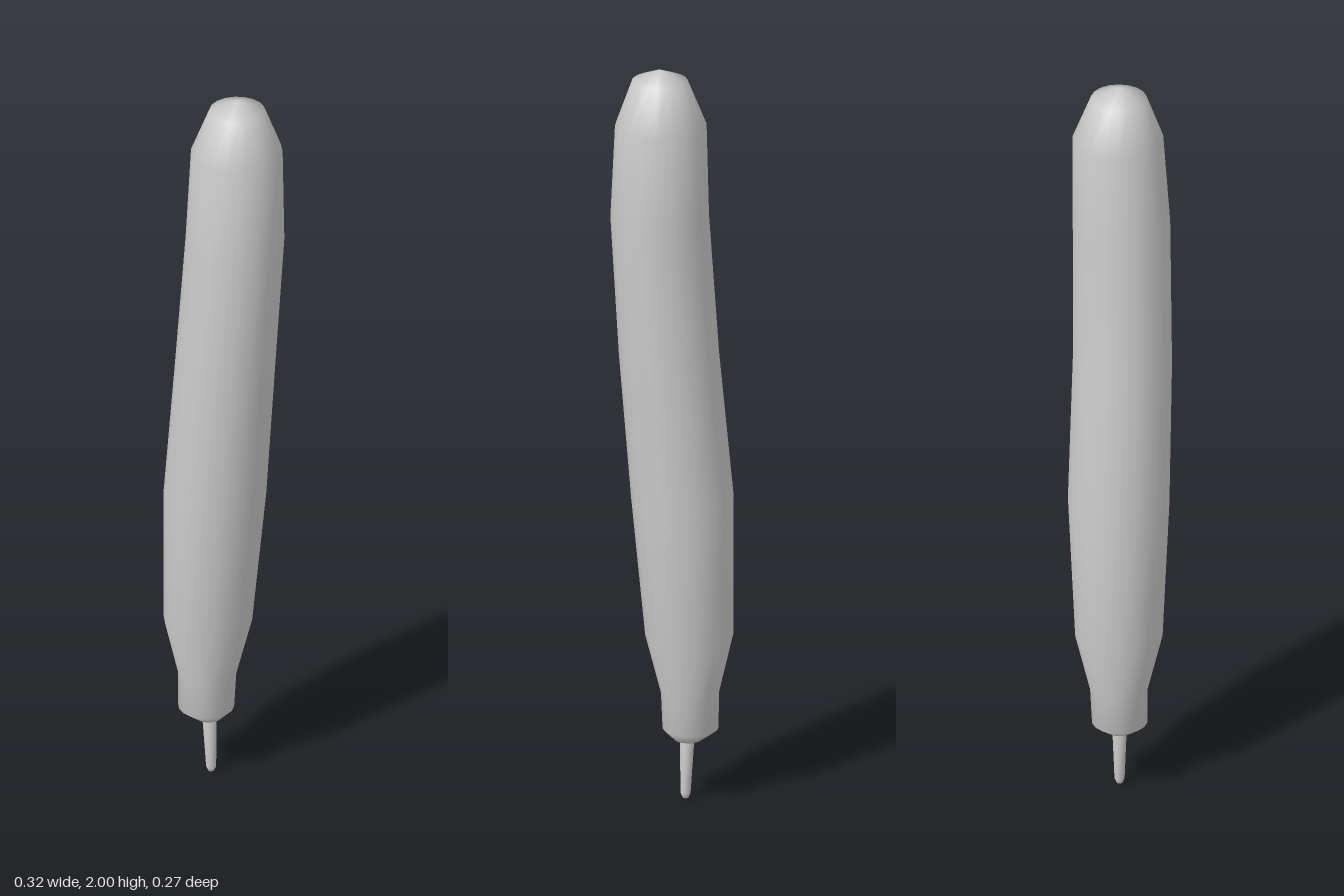
import * as THREE from 'three';
import { mergeVertices } from 'three/addons/utils/BufferGeometryUtils.js';

// Smooth skin through round sections [y, centreX, centreZ, radius], bottom to top
function loft(sections, sides) {
  const pos = [], index = [];
  for (const [y, cx, cz, r] of sections) {
    for (let i = 0; i < sides; i++) {
      const a = (i / sides) * Math.PI * 2;
      pos.push(cx + r * Math.cos(a), y, cz + r * Math.sin(a));
    }
  }
  for (let s = 0; s < sections.length - 1; s++) {
    for (let i = 0; i < sides; i++) {
      const a = s * sides + i, b = s * sides + (i + 1) % sides;
      const c = a + sides, d = b + sides;
      if (sections[s][3] > 0) index.push(a, c, b);
      if (sections[s + 1][3] > 0) index.push(b, c, d);
      else if (sections[s][3] > 0) continue;
    }
  }
  let geo = new THREE.BufferGeometry();
  geo.setAttribute('position', new THREE.Float32BufferAttribute(pos, 3));
  geo.setIndex(index);
  geo = mergeVertices(geo); // joins the points at each pole
  geo.computeVertexNormals();
  return geo;
}

export function createModel() {
  const group = new THREE.Group();
  const material = new THREE.MeshStandardMaterial({ color: 0xcccccc });
  const add = (name, geo) => {
    const mesh = new THREE.Mesh(geo, material);
    mesh.name = name;
    group.add(mesh);
  };

  // Long, slightly bent body with a narrow neck and rounded tip
  add('body', loft([
    [0.15, -0.045, 0, 0],
    [0.162, -0.045, 0, 0.035],
    [0.192, -0.052, 0, 0.072],
    [0.29, -0.05, -0.002, 0.075],
    [0.45, -0.048, -0.002, 0.114],
    [0.83, -0.028, -0.002, 0.132],
    [1.22, 0.005, 0.008, 0.129],
    [1.6, 0.032, 0.006, 0.127],
    [1.85, 0.033, -0.003, 0.118],
    [1.97, 0.035, -0.001, 0.072],
    [2.0, 0.036, 0, 0],
  ], 18));

  // Thin tapering stem under the neck
  add('stem', loft([
    [0.0, -0.038, 0, 0],
    [0.004, -0.038, 0, 0.008],
    [0.016, -0.038, 0, 0.013],
    [0.17, -0.043, 0, 0.019],
    [0.18, -0.043, 0, 0],
  ], 12));

  return group;
}
